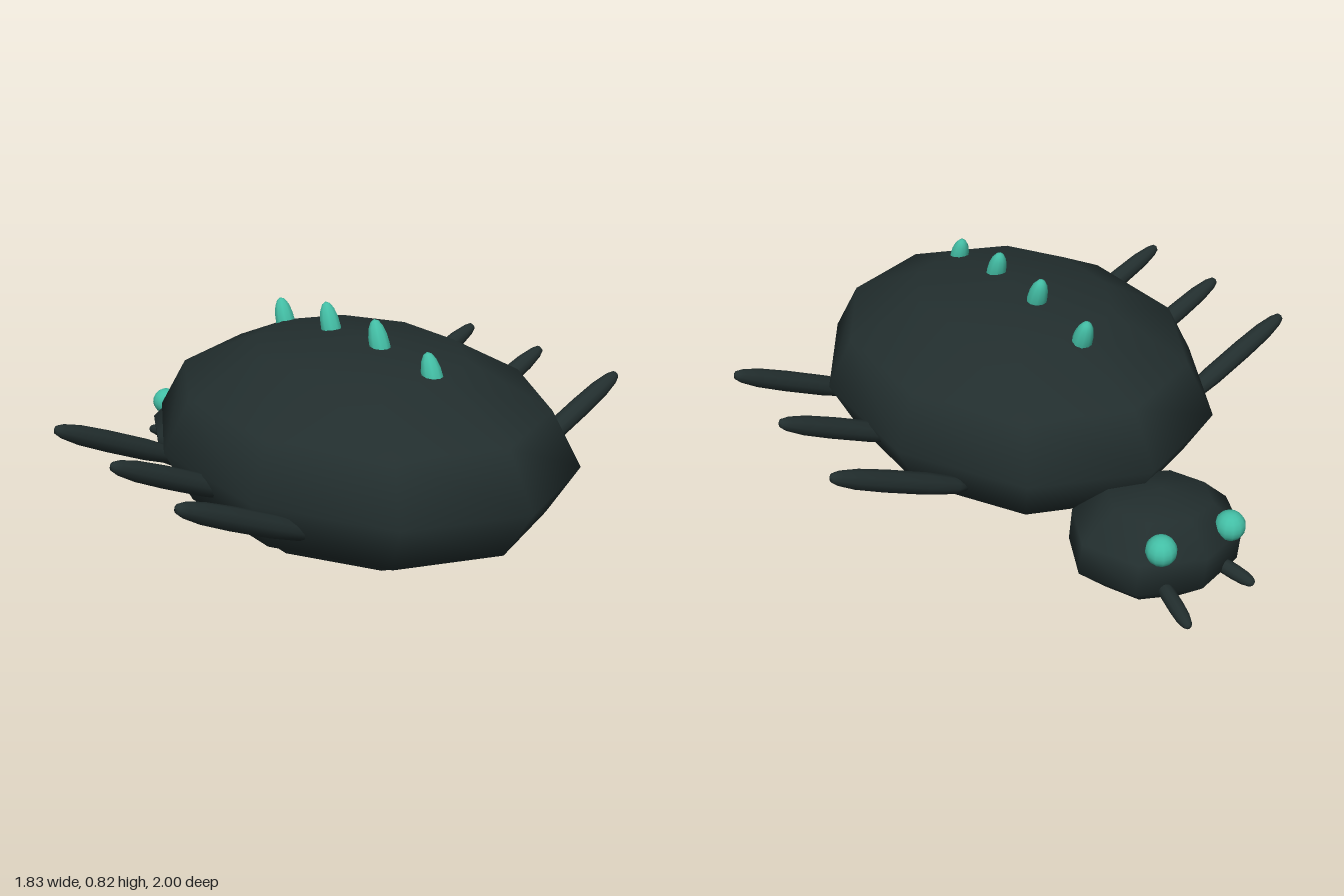
import * as THREE from 'three';

const shell = new THREE.MeshStandardMaterial({ color: 0x222e2e });
shell.name = 'dark shell';
const teal = new THREE.MeshStandardMaterial({ color: 0x43bea5 });
teal.name = 'teal';

function add(parent, name, geometry, material, position) {
  const mesh = new THREE.Mesh(geometry, material);
  mesh.name = name;
  mesh.position.set(...position);
  parent.add(mesh);
  return mesh;
}

// Low-sided ellipsoid with a corner on the z axis
function ellipsoid(rx, ry, rz, around, rings) {
  return new THREE.SphereGeometry(1, around, rings).rotateY(Math.PI / 2).scale(rx, ry, rz);
}

// Round-ended limb along y, slimmer toward both tips
function limb(radius, length) {
  const profile = [[0, -0.5], [0.45, -0.48], [0.8, -0.4], [1, -0.18], [1, 0.12],
    [0.9, 0.32], [0.65, 0.44], [0.4, 0.485], [0, 0.5]];
  return new THREE.LatheGeometry(
    profile.map(([r, y]) => new THREE.Vector2(r * radius, y * length)), 10);
}

// Limb placed between two points
function limbBetween(parent, name, from, to, radius) {
  const a = new THREE.Vector3(...from);
  const b = new THREE.Vector3(...to);
  const axis = b.clone().sub(a);
  const mid = a.clone().add(b).multiplyScalar(0.5);
  const mesh = add(parent, name, limb(radius, axis.length()), shell, mid.toArray());
  mesh.quaternion.setFromUnitVectors(new THREE.Vector3(0, 1, 0), axis.normalize());
}

export function createModel() {
  const model = new THREE.Group();
  model.name = 'beetle';

  // Body and the belly bulging out underneath
  add(model, 'body', ellipsoid(0.641, 0.35, 0.805, 10, 6), shell, [0, 0.408, 0.195]);
  add(model, 'belly', ellipsoid(0.523, 0.28, 0.63, 10, 6), shell, [0, 0.302, 0.2]);

  // Head, rolled slightly to one side
  const head = add(model, 'head', ellipsoid(0.313, 0.178, 0.26, 8, 5), shell, [0, 0.18, -0.63]);
  head.rotation.z = 0.1;

  // Eyes
  add(model, 'leftEye', ellipsoid(0.05, 0.05, 0.05, 12, 10), teal, [0.125, 0.285, -0.81]);
  add(model, 'rightEye', ellipsoid(0.05, 0.05, 0.05, 12, 10), teal, [-0.155, 0.26, -0.81]);

  // Uneven feelers
  limbBetween(model, 'leftFeeler', [0.105, 0.148, -0.78], [0.163, 0.136, -1.0], 0.025);
  limbBetween(model, 'rightFeeler', [-0.11, 0.13, -0.75], [-0.16, 0.105, -0.935], 0.025);

  // Three pairs of raised legs
  for (const z of [0.525, 0.16, -0.205]) {
    for (const side of [1, -1]) {
      limbBetween(model, side > 0 ? 'leftLeg' : 'rightLeg',
        [side * 0.44, 0.295, z], [side * 0.915, 0.518, z], 0.036);
    }
  }

  // Row of spikes leaning toward the head
  for (const [y, z] of [[0.698, 0.555], [0.742, 0.3], [0.742, 0.045], [0.698, -0.215]]) {
    const spike = add(model, 'backSpike', ellipsoid(0.035, 0.09, 0.035, 10, 8), teal, [0, y, z]);
    spike.rotation.x = -0.35;
  }

  return model;
}
